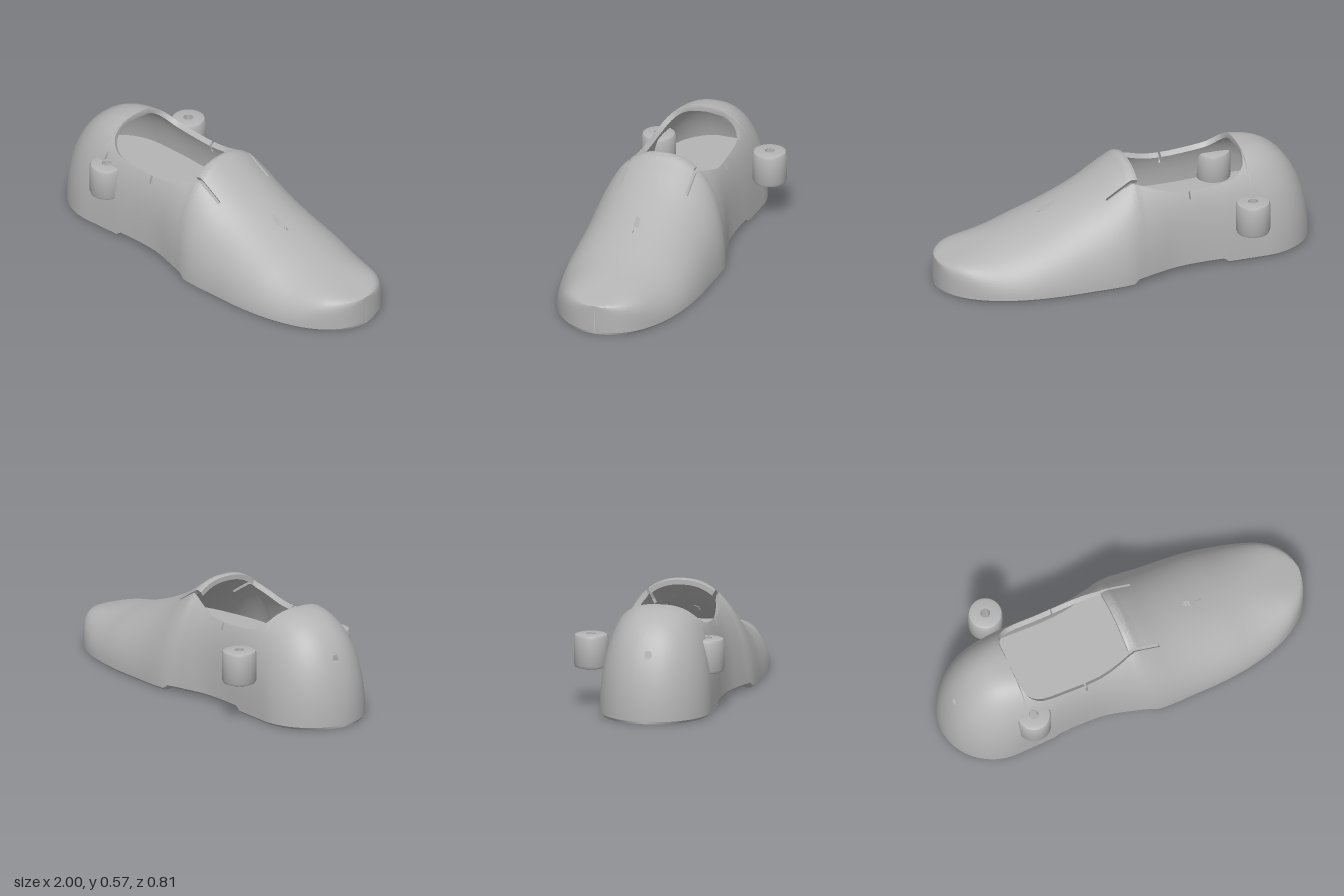
import * as THREE from 'three';
import { mergeGeometries, toCreasedNormals } from 'three/addons/utils/BufferGeometryUtils.js';

const CENTRE = 0.04;   // z of the shoe's long axis
const WALL = 0.025;    // shell thickness
const FLOOR = 0.23;    // insole height
const ROWS = 48;       // steps up each half section

// Smooth curve through [x, value] pairs
function curve(pts, smooth = true) {
  const slope = pts.map((p, i) => {
    const a = pts[Math.max(i - 1, 0)], c = pts[Math.min(i + 1, pts.length - 1)];
    return smooth ? (c[1] - a[1]) / (c[0] - a[0]) : 0;
  });
  return (x) => {
    let i = 0;
    while (i < pts.length - 2 && x > pts[i + 1][0]) i++;
    const [x0, y0] = pts[i], [x1, y1] = pts[i + 1], h = x1 - x0;
    const t = Math.min(1, Math.max(0, (x - x0) / h));
    if (!smooth) return y0 + (y1 - y0) * t;
    const s = 1 - t;
    return y0 * (1 + 2 * t) * s * s + slope[i] * h * t * s * s + y1 * t * t * (3 - 2 * t) - slope[i + 1] * h * t * t * s;
  };
}

// Half width, crown height, squareness, rim height and underside along the shoe
const midWidth = curve([[-0.7, 0.285], [-0.5, 0.28], [-0.35, 0.275], [-0.2, 0.285], [-0.05, 0.325], [0.07, 0.358], [0.3, 0.36]]);
function width(x) {
  if (x < -0.7) return 0.285 * Math.sqrt(Math.max(0, 1 - ((-0.7 - x) / 0.3) ** 2));
  if (x > 0.3) return 0.36 * Math.max(0, 1 - ((x - 0.3) / 0.7) ** 2.3) ** (1 / 2.3);
  return midWidth(x);
}
const foreHeight = curve([[-0.62, 0.55], [-0.2, 0.55], [-0.03, 0.562], [0, 0.567], [0.05, 0.535], [0.2, 0.44],
  [0.4, 0.345], [0.6, 0.27], [0.8, 0.212], [0.95, 0.17], [1, 0.155]]);
const height = (x) => x < -0.62 ? 0.55 * Math.sqrt(Math.max(0, 1 - ((-0.62 - x) / 0.38) ** 2.5)) : foreHeight(x);
const power = curve([[-1, 2.2], [-0.75, 2.4], [-0.55, 3], [-0.25, 3], [0, 2.3], [0.5, 2.1], [0.8, 2.6], [1, 6]]);
const rim = curve([[-0.62, 0.55], [-0.6, 0.5], [-0.55, 0.455], [-0.5, 0.44], [-0.4, 0.43], [-0.3, 0.425], [-0.2, 0.433], [-0.1, 0.465], [0, 0.5]]);
const base = curve([[-0.49, 0], [-0.465, 0.02], [0.02, 0.02], [0.05, 0]], false);

// Section point and the angles at a given height or half width
function section(x, a, inset) {
  const e = 2 / power(x);
  return [x, Math.max(0.001, height(x) - inset) * Math.max(0, Math.sin(a)) ** e,
    Math.max(0.001, width(x) - inset) * Math.max(0, Math.cos(a)) ** e];
}
const angleAtY = (x, y) => Math.asin(Math.min(1, y / Math.max(1e-6, height(x))) ** (power(x) / 2));
const angleAtZ = (x, z) => Math.acos(Math.min(1, z / Math.max(1e-6, width(x))) ** (power(x) / 2));

// Lace holes through heel and instep, and the channel above the near lug
const inHole = (x, y, z) => (Math.hypot(y - 0.345, z - 0.003) < 0.022 && (x < -0.8 || x > 0.25)) ||
  (Math.hypot(x + 0.59, z - 0.245) < 0.025 && y > 0.37);

function toGeometry(pos) {
  const g = new THREE.BufferGeometry();
  g.setAttribute('position', new THREE.Float32BufferAttribute(pos, 3));
  return g;
}

// Grid of points to triangles
function addGrid(pos, grid, flip) {
  const tri = (p, q, r) => {
    const c = [0, 1, 2].map((k) => (p[k] + q[k] + r[k]) / 3);
    if (inHole(...c)) return;
    for (const v of flip ? [p, r, q] : [p, q, r]) pos.push(v[0], v[1], v[2] + CENTRE);
  };
  for (let j = 0; j < grid.length - 1; j++) {
    for (let i = 0; i < grid[0].length - 1; i++) {
      const a = grid[j][i], b = grid[j + 1][i], c = grid[j + 1][i + 1], d = grid[j][i + 1];
      tri(a, b, c);
      tri(a, c, d);
    }
  }
}

// Mirrored piece of shell, with both skins and its edges
function shellPatch(xs, low, high, rows = ROWS) {
  const pos = [];
  for (const side of [1, -1]) {
    const skin = (inset) => xs.map((x) => Array.from({ length: rows + 1 }, (_, i) => {
      const p = section(x, THREE.MathUtils.lerp(low(x), high(x), i / rows), inset);
      return [p[0], p[1], p[2] * side];
    }));
    const outer = skin(0), inner = skin(WALL), flip = side < 0;
    addGrid(pos, outer, flip);
    addGrid(pos, inner, !flip);
    const last = xs.length - 1;
    addGrid(pos, outer.map((r, j) => [r[rows], inner[j][rows]]), flip);
    addGrid(pos, outer.map((r, j) => [r[0], inner[j][0]]), !flip);
    addGrid(pos, [outer[0], inner[0]], !flip);
    addGrid(pos, [outer[last], inner[last]], flip);
  }
  return toGeometry(pos);
}

const span = (a, b, n, ease = (t) => t) => Array.from({ length: n + 1 }, (_, i) => a + (b - a) * ease(i / n));
const easeOut = (t) => Math.sin(t * Math.PI / 2);
const END = 0.99999;

export function createModel() {
  const model = new THREE.Group();
  const grey = new THREE.MeshStandardMaterial({ color: 0xb4b4b4, side: THREE.DoubleSide });
  grey.name = 'light grey';
  const add = (geometry, name) => {
    const mesh = new THREE.Mesh(geometry, grey);
    mesh.name = name;
    model.add(mesh);
    return mesh;
  };

  const heelXs = span(-0.62, -END, 60, easeOut).reverse();
  const toeXs = span(0.14, END, 80, easeOut);
  const bottom = (x) => angleAtY(x, base(x) + 0.012);
  const crown = () => Math.PI / 2;
  const collar = (x) => x < 0 ? angleAtY(x, rim(x)) : angleAtZ(x, 0.187);

  // Upper: heel cup, sides with a notch each, tongue between two slits, toe
  const upper = [
    shellPatch(heelXs, bottom, crown),
    shellPatch([...span(-0.62, -0.58, 10), ...span(-0.57, -0.296, 20)], bottom, collar),
    shellPatch([-0.296, -0.284], bottom, (x) => angleAtY(x, 0.385)),
    shellPatch([...span(-0.284, 0, 20), ...span(0.01, 0.14, 13)], bottom, collar),
    shellPatch(span(-0.03, 0.14, 17), (x) => angleAtZ(x, 0.172), crown, 20),
    shellPatch(toeXs, bottom, crown),
  ];
  add(toCreasedNormals(mergeGeometries(upper), 0.7), 'upper');

  // Sole with a bevelled edge and a raised arch
  const solePos = [];
  const soleXs = [...heelXs, ...span(-0.6, -0.5, 5), -0.49, -0.465, ...span(-0.44, 0, 22), 0.02, 0.05, 0.1, ...toeXs];
  addGrid(solePos, soleXs.map((x) => {
    const edge = section(x, bottom(x), 0), w = Math.max(0, width(x) - 0.012), y = base(x);
    return [[x, edge[1], -edge[2]], [x, y, -w], [x, y, w], edge];
  }), false);
  add(toCreasedNormals(toGeometry(solePos), 0.5), 'sole');

  // Insole
  const floorPos = [];
  addGrid(floorPos, span(-0.955, 0.64, 60).map((x) => {
    const w = section(x, angleAtY(x, FLOOR), WALL * 0.5)[2];
    return [[x, FLOOR, w], [x, FLOOR, -w]];
  }), false);
  const floor = toGeometry(floorPos);
  floor.computeVertexNormals();
  add(floor, 'insole');

  // Upright side lugs with a bore and rounded rims
  const outline = [[0.025, 0.205], [0.07, 0.205], [0.082, 0.21], [0.088, 0.223], [0.088, 0.362], [0.082, 0.375], [0.07, 0.38], [0.025, 0.38], [0.025, 0.205]];
  const lug = toCreasedNormals(new THREE.LatheGeometry(outline.map((p) => new THREE.Vector2(...p)), 40), 0.7);
  add(lug, 'rightLug').position.set(-0.59, 0, -0.318);
  add(lug, 'leftLug').position.set(-0.59, 0, 0.285);

  return model;
}
